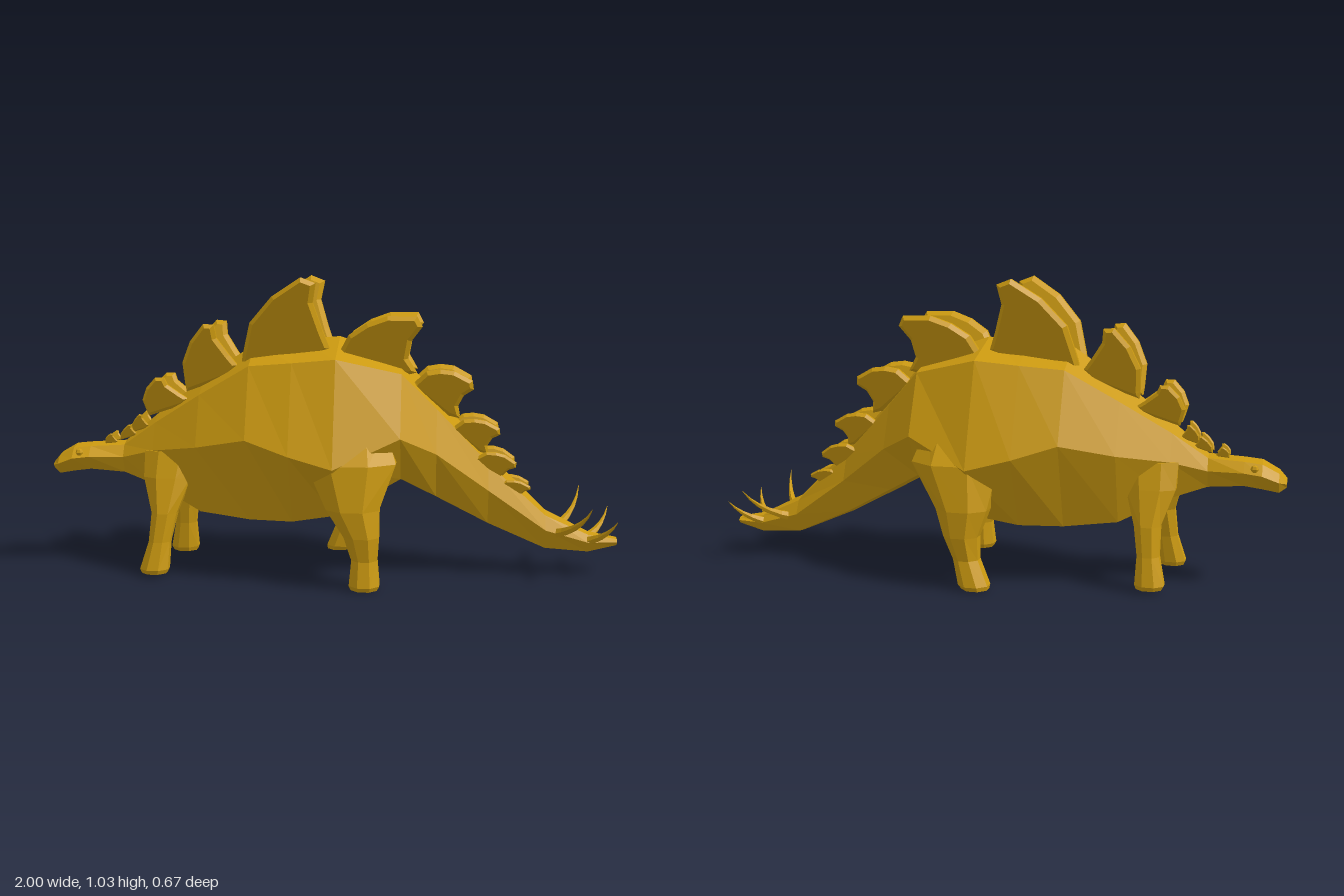
import * as THREE from 'three';

const gold = new THREE.MeshStandardMaterial({ color: 0xcc9a10, flatShading: true });
gold.name = 'golden hide';

// Closed, capped skin over a list of rings with equal point counts
function loft(rings) {
  const n = rings[0].length, pos = rings.flat(2), idx = [];
  for (let i = 0; i < rings.length - 1; i++)
    for (let j = 0; j < n; j++) {
      const a = i * n + j, b = i * n + (j + 1) % n;
      idx.push(a, b, a + n, b, b + n, a + n);
    }
  const last = (rings.length - 1) * n;
  for (let j = 1; j < n - 1; j++) idx.push(0, j + 1, j, last, last + j, last + j + 1);

  // Turn every face outward
  const v = k => new THREE.Vector3().fromArray(pos, k * 3);
  let volume = 0;
  for (let i = 0; i < idx.length; i += 3) volume += v(idx[i]).dot(v(idx[i + 1]).cross(v(idx[i + 2])));
  if (volume < 0) idx.reverse();

  const indexed = new THREE.BufferGeometry();
  indexed.setAttribute('position', new THREE.Float32BufferAttribute(pos, 3));
  indexed.setIndex(idx);
  const g = indexed.toNonIndexed();
  g.computeVertexNormals();
  return g;
}

function add(group, name, geometry) {
  const m = new THREE.Mesh(geometry, gold);
  m.name = name;
  group.add(m);
  return m;
}

// Body stations from snout to tail: x, ridge y, belly y, half width
const BODY = [
  [-1, .375, .347, .04], [-.975, .405, .33, .072], [-.92, .437, .34, .085], [-.86, .443, .347, .078],
  [-.74, .45, .335, .06], [-.62, .55, .29, .11], [-.45, .68, .20, .20], [-.27, .80, .178, .265],
  [-.12, .815, .178, .305], [.03, .828, .205, .328], [.25, .755, .335, .245], [.37, .625, .27, .165],
  [.55, .42, .175, .095], [.75, .225, .09, .065], [.90, .15, .08, .045], [1, .13, .105, .03],
];
// Eight-sided section; the widest line sags around the hips
function bodyRing([x, top, bottom, w]) {
  const at = f => bottom + f * (top - bottom);
  const flank = .54 - .22 * Math.exp(-(((x - .08) / .25) ** 2));
  const half = [[.04, .6], [flank, 1], [.895, .61]].map(([f, k]) => [x, at(f), k * w]);
  const mirrored = half.map(([, y, z]) => [x, y, -z]).reverse();
  return [[x, bottom, 0], ...half, [x, top, 0], ...mirrored];
}

// Legs from foot to hip: y, centre x, centre z, radius x, radius z
const HIND = [
  [.015, .135, .28, .052, .052], [.10, .135, .272, .044, .046], [.18, .125, .276, .06, .056],
  [.27, .095, .258, .09, .08], [.42, .085, .205, .155, .115], [.54, .09, .15, .11, .09],
];
const FORE = [
  [.025, -.605, .169, .05, .045], [.12, -.588, .155, .038, .040], [.22, -.572, .14, .045, .045],
  [.34, -.565, .105, .085, .05], [.43, -.555, .08, .095, .05],
];
// The far foot of each pair is shifted by step; the sole is slightly drawn in
function leg(rows, side, step) {
  const [y0, x0, z0, rx0, rz0] = rows[0];
  const sole = [y0 - .015, x0, z0, rx0 * .86, rz0 * .86];
  return loft([sole, ...rows].map(([y, cx, cz, rx, rz]) => {
    const dx = side < 0 ? step * Math.max(0, 1 - y / .4) : 0;
    return Array.from({ length: 8 }, (_, i) => {
      const a = (i + .5) * Math.PI / 4;
      return [cx + dx + rx * 1.06 * Math.cos(a), y, side * (cz + rz * 1.06 * Math.sin(a))];
    });
  }));
}

// Two plate outlines, as (share along the base, share towards the tip)
const BROAD = [[0, 0], [-.2, .43], [-.17, .77], [0, 1], [.23, .91], [.37, .65], [.75, .25], [1, 0]];
const SWEPT = [[0, 0], [-.26, .4], [-.31, .68], [-.26, .89], [0, 1], [.23, .84], [.39, .54], [.67, .22], [1, 0]];
// Plates from neck to tail: base start, base end and tip, each x and y
const NECK_PLATES = [
  [-.81, .445, -.765, .45, -.788, .478], [-.755, .46, -.695, .48, -.72, .512],
  [-.71, .49, -.65, .51, -.68, .55], [-.65, .56, -.50, .61, -.61, .685],
  [-.51, .66, -.32, .73, -.43, .875], [-.30, .77, .003, .79, -.09, 1.035],
];
const TAIL_PLATES = [
  [.03, .77, .30, .71, .30, .905], [.295, .68, .45, .55, .49, .685], [.43, .525, .55, .425, .585, .52],
  [.51, .42, .60, .325, .645, .40], [.59, .325, .665, .265, .695, .315],
];
function plate([ax, ay, bx, by, tx, ty], outline, side) {
  // The root below the base is sunk into the back
  const shape = new THREE.Shape([...outline, [.92, -.15], [.08, -.15]].map(([s, h]) =>
    new THREE.Vector2(ax + s * (bx - ax) + h * (tx - ax), ay + s * (by - ay) + h * (ty - ay))));
  const base = Math.hypot(bx - ax, by - ay);
  const thick = Math.min(.052, .23 * base), bevel = thick * .35;
  const g = new THREE.ExtrudeGeometry(shape, {
    depth: thick - 2 * bevel, bevelThickness: bevel, bevelSize: bevel * .8, bevelOffset: -bevel * .8, bevelSegments: 1,
  });
  g.translate(0, 0, bevel - thick / 2);
  // Lean the plate outward; longer plates stand further apart
  const p = g.attributes.position, z0 = .02 + .22 * base, y0 = (ay + by) / 2;
  for (let i = 0; i < p.count; i++) p.setZ(i, p.getZ(i) + side * (z0 + .33 * (p.getY(i) - y0)));
  g.computeVertexNormals();
  return g;
}

// Tail spikes: root, bend and tip of a curve
const SPIKES = [
  [[.78, .145, .03], [.87, .18, .125], [.89, .272, .21]],
  [[.885, .115, .015], [.96, .14, .07], [.985, .212, .135]],
];
function spike(points, side) {
  const curve = new THREE.QuadraticBezierCurve3(...points.map(([x, y, z]) => new THREE.Vector3(x, y, z * side)));
  return loft(Array.from({ length: 6 }, (_, k) => {
    const c = curve.getPoint(k / 5), t = curve.getTangent(k / 5);
    const u = new THREE.Vector3(0, 1, 0).cross(t).normalize(), w = t.clone().cross(u);
    const r = .018 * (1 - k / 5) + .0008;
    return Array.from({ length: 6 }, (_, i) => {
      const a = i * Math.PI / 3;
      return c.clone().addScaledVector(u, r * Math.cos(a)).addScaledVector(w, r * Math.sin(a)).toArray();
    });
  }));
}

export function createModel() {
  const model = new THREE.Group();
  model.name = 'plated dinosaur';
  add(model, 'body', loft(BODY.map(bodyRing)));

  for (const side of [1, -1]) {
    const half = new THREE.Group();
    half.name = side > 0 ? 'nearSide' : 'farSide';
    add(half, 'hindLeg', leg(HIND, side, -.13));
    add(half, 'frontLeg', leg(FORE, side, .04));
    NECK_PLATES.forEach((p, i) => add(half, 'neckPlate' + (i + 1), plate(p, BROAD, side)));
    TAIL_PLATES.forEach((p, i) => add(half, 'tailPlate' + (i + 1), plate(p, SWEPT, side)));
    SPIKES.forEach((s, i) => add(half, 'tailSpike' + (i + 1), spike(s, side)));
    // Eye
    const eye = add(half, 'eye', new THREE.SphereGeometry(.014, 6, 4));
    eye.position.set(-.895, .413, side * .068);
    model.add(half);
  }
  return model;
}
